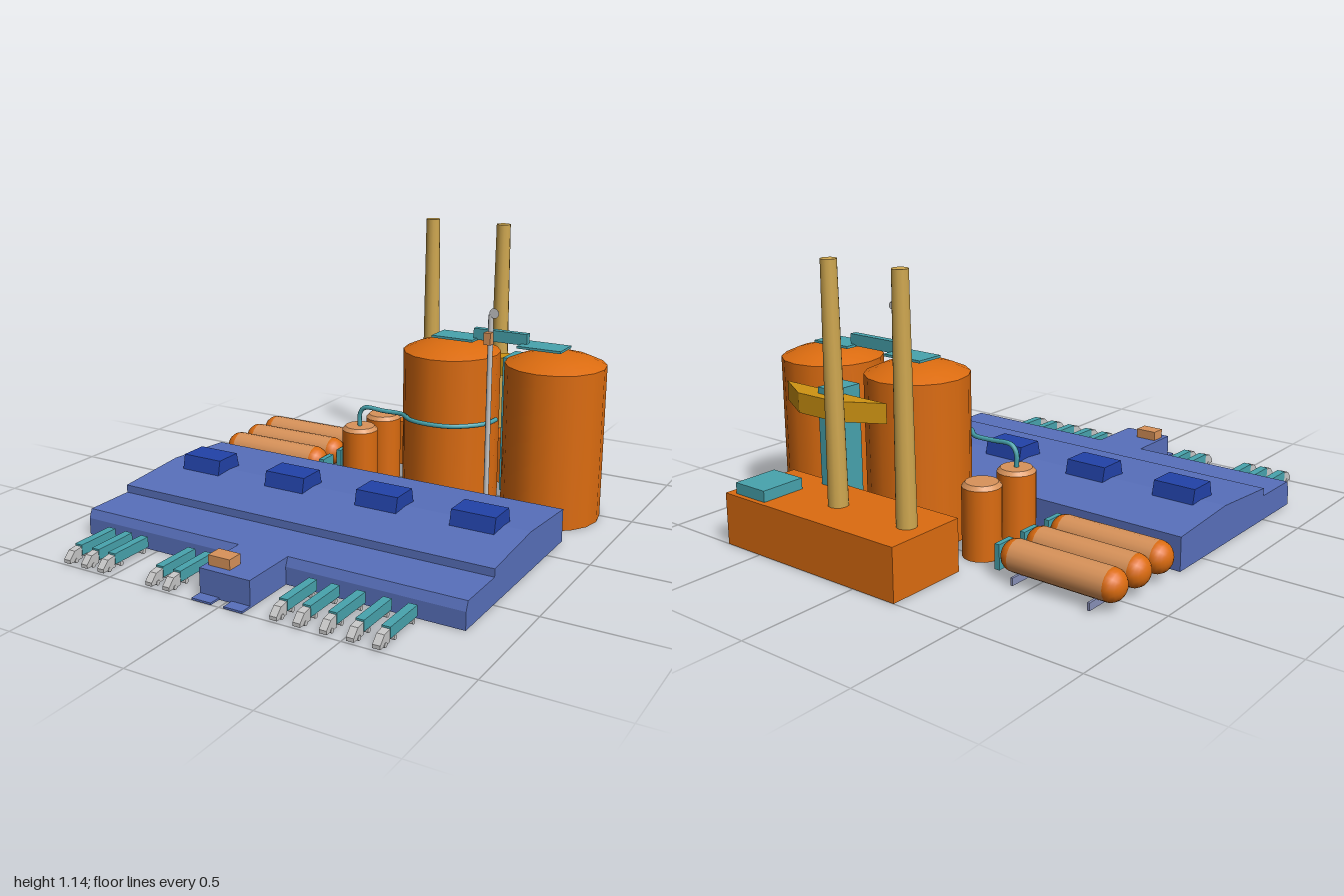
import * as THREE from 'three';

const mat = (name, color, side = THREE.FrontSide) => {
  const m = new THREE.MeshStandardMaterial({ color, side });
  m.name = name;
  return m;
};

export function createModel() {
  const root = new THREE.Group();
  root.name = 'factory';
  const D = THREE.DoubleSide;
  const blue = mat('wall blue', 0x5870bc, D);
  const navy = mat('skylight blue', 0x2242a8);
  const orange = mat('tank orange', 0xdc6c10, D);
  const peach = mat('pale orange', 0xd9935a);
  const sand = mat('chimney sand', 0xd0a850);
  const gold = mat('canopy gold', 0xcf9412);
  const teal = mat('teal', 0x48a4ae);
  const grey = mat('light grey', 0xc8c8c8);
  const steel = mat('rail steel', 0x8890b8);

  const add = (name, geo, m, x = 0, y = 0, z = 0) => {
    const mesh = new THREE.Mesh(geo, m);
    mesh.name = name;
    mesh.position.set(x, y, z);
    root.add(mesh);
    return mesh;
  };
  // Box given by its limits on each axis
  const box = (name, m, x0, x1, y0, y1, z0, z1) =>
    add(name, new THREE.BoxGeometry(x1 - x0, y1 - y0, z1 - z0), m, (x0 + x1) / 2, (y0 + y1) / 2, (z0 + z1) / 2);

  // Hollow building without a floor: (z, y) profile swept along x, plus two end walls
  const shell = (name, profile, x0, x1) => {
    const pos = [];
    for (let i = 0; i + 1 < profile.length; i++) {
      const [za, ya] = profile[i], [zb, yb] = profile[i + 1];
      pos.push(x0, ya, za, x1, yb, zb, x1, ya, za, x0, ya, za, x0, yb, zb, x1, yb, zb);
    }
    const geo = new THREE.BufferGeometry();
    geo.setAttribute('position', new THREE.Float32BufferAttribute(pos, 3));
    geo.computeVertexNormals();
    add(name, geo, blue);
    const shape = new THREE.Shape(profile.map(([z, y]) => new THREE.Vector2(z, y)));
    for (const [x, s] of [[x0, 1], [x1, -1]]) {
      // Local x of the shape maps to +z on the -x end and is mirrored on the +x end
      const end = new THREE.ShapeGeometry(s > 0 ? shape
        : new THREE.Shape(profile.map(([z, y]) => new THREE.Vector2(-z, y))));
      end.rotateY(-s * Math.PI / 2);
      add(name + 'End', end, blue, x);
    }
  };

  // Warehouse with low gabled roof, front lean-to and gatehouse
  shell('warehouse', [[-0.16, 0], [-0.16, 0.137], [0.17, 0.16], [0.495, 0.137], [0.495, 0.105],
    [0.71, 0.105], [0.725, 0.07], [0.725, 0]], -0.845, 0.825);
  shell('gatehouse', [[0.71, 0.105], [0.95, 0.105], [0.95, 0]].concat([[0.71, 0]]), -0.12, 0.10);
  box('gatePad', blue, -0.12, -0.035, 0, 0.008, 0.95, 1.0);
  box('gatePad', blue, 0.02, 0.10, 0, 0.008, 0.95, 1.0);
  box('gatehouseVent', peach, -0.105, -0.01, 0.105, 0.145, 0.85, 0.915);

  // Skylights with slightly tapered tops
  for (const x of [-0.645, -0.225, 0.205, 0.62]) {
    const g = new THREE.BoxGeometry(0.185, 0.065, 0.15);
    const p = g.attributes.position;
    for (let i = 0; i < p.count; i++) if (p.getY(i) > 0) p.setZ(i, p.getZ(i) * 0.8);
    g.computeVertexNormals();
    add('skylight', g, navy, x, 0.183, 0.18);
  }

  // Parked trucks: trailer, cab with sloping nose
  const cab = new THREE.Shape([[0.935, 0.008], [1.0, 0.008], [1.0, 0.022], [0.972, 0.05], [0.935, 0.055]]
    .map(([z, y]) => new THREE.Vector2(-z, y)));
  for (const x of [-0.71, -0.625, -0.545, -0.315, -0.235, 0.23, 0.325, 0.43, 0.535, 0.635]) {
    box('trailer', teal, x - 0.017, x + 0.017, 0.02, 0.062, 0.745, 0.935);
    const g = new THREE.ExtrudeGeometry(cab, { depth: 0.03, bevelEnabled: false });
    g.translate(0, 0, -0.015).rotateY(Math.PI / 2);
    add('truckCab', g, grey, x);
    for (const z of [0.77, 0.90, 0.965]) {
      const w = new THREE.CylinderGeometry(0.01, 0.01, 0.034, 8).rotateZ(Math.PI / 2);
      add('truckWheel', w, grey, x, 0.01, z);
    }
  }

  // Large domed tanks, open underneath, each with a platform on top
  for (const x of [0.195, 0.665]) {
    add('tankWall', new THREE.CylinderGeometry(0.208, 0.208, 0.65, 16, 1, true), orange, x, 0.325, -0.428);
    const dome = [[0.208, 0.65], [0.15, 0.676], [0.08, 0.694], [0, 0.70]].map(([r, y]) => new THREE.Vector2(r, y));
    add('tankDome', new THREE.LatheGeometry(dome, 16), orange, x, 0, -0.428);
  }
  box('tankPlatform', teal, 0.125, 0.315, 0.706, 0.716, -0.49, -0.37);
  box('tankPlatform', teal, 0.515, 0.705, 0.706, 0.716, -0.49, -0.37);
  box('tankBridge', teal, 0.30, 0.54, 0.71, 0.758, -0.445, -0.415);

  // Small upright tanks with pale lids
  for (const z of [-0.48, -0.27]) {
    add('smallTank', new THREE.CylinderGeometry(0.078, 0.078, 0.28, 16, 1, true), orange, -0.168, 0.14, z);
    add('smallTankLid', new THREE.CylinderGeometry(0.064, 0.078, 0.016, 16), peach, -0.168, 0.288, z);
  }

  // Pipe from the small tank around the big one
  const route = [[-0.168, 0.29, -0.27], [-0.168, 0.35, -0.27], [-0.145, 0.38, -0.27], [-0.05, 0.38, -0.27],
    [0.04, 0.38, -0.268], [0.11, 0.38, -0.213], [0.20, 0.38, -0.195], [0.30, 0.38, -0.213],
    [0.385, 0.38, -0.285], [0.415, 0.38, -0.345], [0.42, 0.38, -0.40]];
  const curve = new THREE.CatmullRomCurve3(route.map(p => new THREE.Vector3(...p)), false, 'centripetal');
  add('transferPipe', new THREE.TubeGeometry(curve, 60, 0.01, 8), teal);

  // Horizontal tanks with domed ends, and a pump panel at each
  for (const z of [-0.575, -0.425, -0.275]) {
    add('lyingTank', new THREE.CylinderGeometry(0.063, 0.063, 0.41, 16).rotateZ(Math.PI / 2), peach, -0.613, 0.092, z);
    for (const s of [-1, 1]) {
      const g = new THREE.SphereGeometry(0.063, 16, 6, 0, Math.PI * 2, 0, Math.PI / 2);
      g.scale(1, 0.9, 1).rotateZ(-s * Math.PI / 2);
      add('lyingTankEnd', g, orange, -0.613 + s * 0.205, 0.092, z);
    }
    box('pumpPanel', teal, -0.347, -0.325, 0.025, 0.125, z - 0.025, z + 0.06);
  }
  for (const x of [-0.775, -0.443]) box('tankRail', steel, x - 0.005, x + 0.005, 0.01, 0.04, -0.65, -0.205);

  // Boiler house with roof unit and chimneys
  box('boilerHouse', orange, -0.20, 0.68, 0, 0.21, -1.0, -0.655);
  box('roofUnit', teal, 0.48, 0.64, 0.21, 0.255, -0.98, -0.79);
  for (const x of [-0.105, 0.243])
    add('chimney', new THREE.CylinderGeometry(0.031, 0.04, 0.93, 12), sand, x, 0.675, -0.825);

  // Elevator tower and the angled canopy behind it
  box('elevatorTower', teal, 0.37, 0.46, 0, 0.605, -0.705, -0.57);
  const canopy = new THREE.Shape([[0.15, 0.65], [0.695, 0.65], [0.525, 0.747], [0.325, 0.747]]
    .map(([x, y]) => new THREE.Vector2(x, y)));
  const cg = new THREE.ExtrudeGeometry(canopy, { depth: 0.08, bevelEnabled: false }).rotateX(-Math.PI / 2);
  add('canopy', cg, gold, 0, 0.50, 0);

  // Mast with control box and dish
  add('mast', new THREE.CylinderGeometry(0.011, 0.011, 0.85, 10), grey, 0.427, 0.425, -0.303);
  box('mastBox', peach, 0.411, 0.441, 0.73, 0.78, -0.302, -0.27);
  add('mastDish', new THREE.CylinderGeometry(0.021, 0.014, 0.014, 14).rotateX(Math.PI / 2), grey, 0.447, 0.86, -0.295);

  return root;
}
